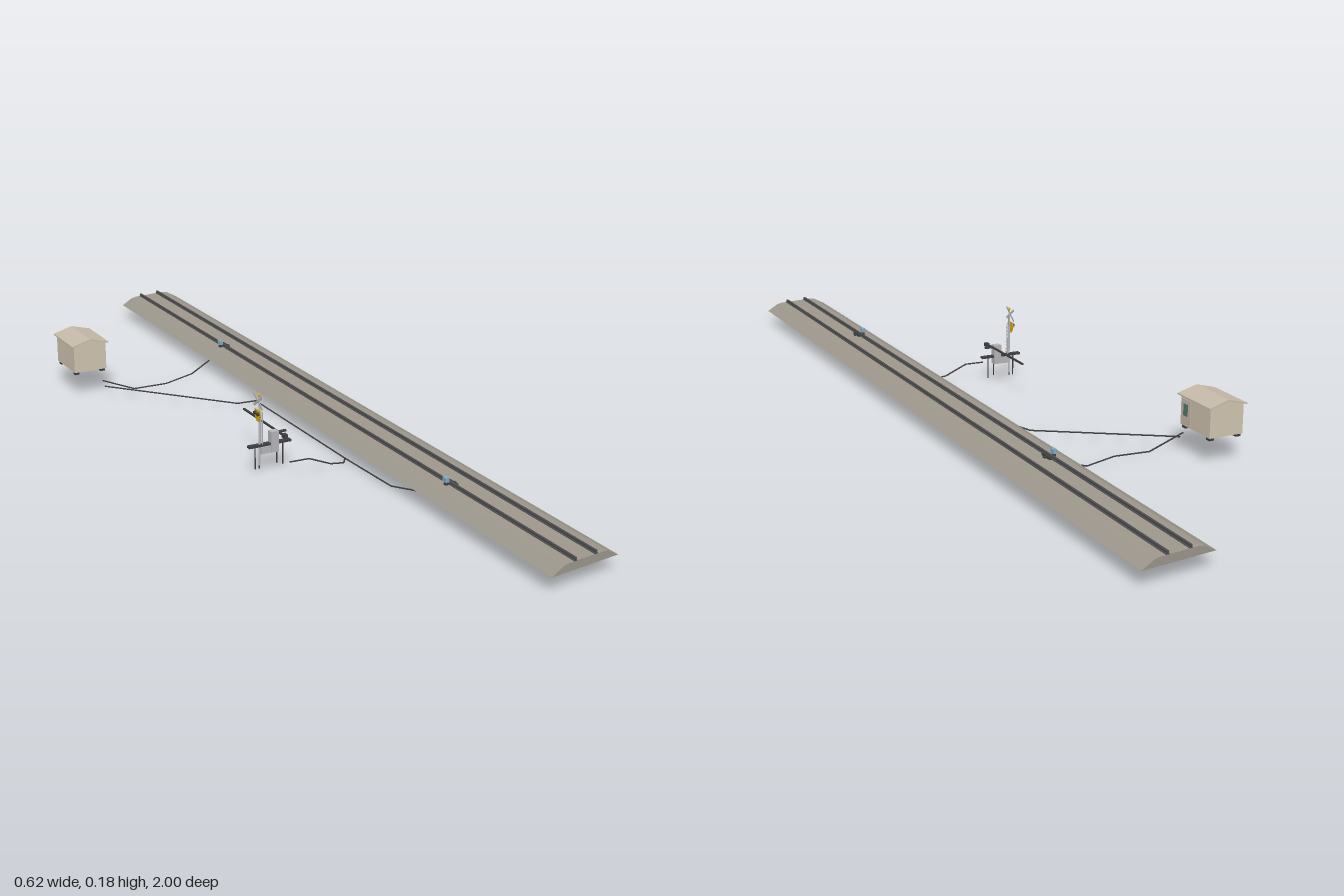
import * as THREE from 'three';

const TURN = -0.119; // heading of the track, shared by the hut and the crossing post
const mat = (color) => new THREE.MeshStandardMaterial({ color, flatShading: true, side: THREE.DoubleSide });
const BALLAST = mat(0x9c968b), STEEL = mat(0x4c4c4e), WALL = mat(0xcfc3b0), ROOF = mat(0xc4b9a8),
  DARK = mat(0x3f3f42), GREY = mat(0xb4b4b8), YELLOW = mat(0xd9ab1c), BLUE = mat(0x7fa9c4), GREEN = mat(0x4f7a66);

function add(parent, name, geo, material, x = 0, y = 0, z = 0) {
  const m = new THREE.Mesh(geo, material);
  m.name = name;
  m.position.set(x, y, z);
  parent.add(m);
  return m;
}

// box given by its extents along each axis
function block(parent, name, material, [x0, x1], [y0, y1], [z0, z1]) {
  return add(parent, name, new THREE.BoxGeometry(x1 - x0, y1 - y0, z1 - z0), material,
    (x0 + x1) / 2, (y0 + y1) / 2, (z0 + z1) / 2);
}

// profile in x,y extruded along z, centred on z = 0
function prism(points, length) {
  const shape = new THREE.Shape(points.map(([x, y]) => new THREE.Vector2(x, y)));
  return new THREE.ExtrudeGeometry(shape, { depth: length, bevelEnabled: false }).translate(0, 0, -length / 2);
}

// centre line of the track
const trackX = (z) => 0.1025 - 0.12 * z;

// slants a straight geometry so it follows the track while its ends stay square to z
function slant(geo) {
  const p = geo.attributes.position;
  for (let i = 0; i < p.count; i++) p.setX(i, p.getX(i) + trackX(p.getZ(i)));
  geo.computeVertexNormals();
  return geo;
}

function buildTrack() {
  const g = new THREE.Group();
  g.name = 'track';
  add(g, 'ballastBed', slant(prism([[-0.087, 0.037], [0.087, 0.037], [0.057, 0.053],
    [0.043, 0.055], [-0.043, 0.055], [-0.057, 0.053]], 2)), BALLAST);
  for (const s of [-1, 1]) {
    const c = s * 0.027; // foot, web and head of one rail
    add(g, 'rail', slant(prism([[c - 0.004, 0.0545], [c + 0.004, 0.0545], [c + 0.004, 0.056], [c + 0.0015, 0.057],
      [c + 0.0015, 0.059], [c + 0.0025, 0.0595], [c + 0.0025, 0.062], [c - 0.0025, 0.062],
      [c - 0.0025, 0.0595], [c - 0.0015, 0.059], [c - 0.0015, 0.057], [c - 0.004, 0.056]], 2)), STEEL);
  }
  // wheel sensors clamped to the left-hand rail
  for (const z of [0.585, -0.463]) {
    const s = new THREE.Group();
    s.name = 'wheelSensor';
    s.position.set(trackX(z), 0, z);
    s.rotation.y = TURN;
    block(s, 'sensorHead', BLUE, [-0.041, -0.032], [0.062, 0.072], [-0.006, 0.006]);
    block(s, 'sensorStand', DARK, [-0.039, -0.034], [0.054, 0.062], [-0.004, 0.004]);
    block(s, 'sensorClamp', DARK, [-0.04, -0.012], [0.054, 0.058], [-0.004, 0.004]);
    block(s, 'sensorPlate', DARK, [-0.022, -0.017], [0.055, 0.06], [-0.018, 0.018]);
    g.add(s);
  }
  return g;
}

function buildHut() {
  const g = new THREE.Group();
  g.name = 'hut';
  g.position.set(-0.2535, 0, -0.527);
  g.rotation.y = TURN;
  add(g, 'hutBody', prism([[-0.042, 0.064], [0.042, 0.064], [0.042, 0.132], [0, 0.143], [-0.042, 0.132]], 0.114), WALL);
  add(g, 'hutRoof', prism([[-0.048, 0.131], [0, 0.144], [0.048, 0.131], [0.048, 0.134], [0, 0.147], [-0.048, 0.134]], 0.126), ROOF);
  for (const x of [-0.034, 0.034])
    for (const z of [-0.047, 0.047])
      block(g, 'hutFoot', DARK, [x - 0.006, x + 0.006], [0.057, 0.064], [z - 0.006, z + 0.006]);
  // door and vent on the side facing the track
  block(g, 'hutDoor', ROOF, [0.042, 0.0432], [0.067, 0.125], [0.018, 0.052]);
  block(g, 'hutVent', GREEN, [0.043, 0.0445], [0.088, 0.115], [0.028, 0.044]);
  return g;
}

function buildCrossingPost() {
  const g = new THREE.Group();
  g.name = 'crossingPost';
  g.position.set(-0.2, 0, 0.192);
  g.rotation.y = TURN;
  // mast with ladder
  add(g, 'mast', new THREE.CylinderGeometry(0.0022, 0.0022, 0.165, 8), GREY, -0.006, 0.1, 0);
  add(g, 'mastCap', new THREE.SphereGeometry(0.004, 10, 8), YELLOW, -0.006, 0.181, 0);
  for (const z of [-0.004, 0.004]) block(g, 'ladderRail', GREY, [-0.001, 0.0005], [0.066, 0.142], [z - 0.0007, z + 0.0007]);
  for (let i = 0; i < 8; i++) block(g, 'ladderRung', GREY, [-0.005, 0.001], [0.07 + i * 0.009, 0.0712 + i * 0.009], [-0.004, 0.004]);
  // crossed warning boards
  for (const s of [-1, 1]) {
    const b = add(g, 'crossBoard', new THREE.BoxGeometry(0.0015, 0.005, 0.048), GREY, -0.009, 0.168, 0);
    b.rotation.x = s * 0.62;
  }
  // warning lamp with tapering backboard
  const board = prism([[-0.005, 0.121], [0.005, 0.121], [0.015, 0.137], [0.012, 0.148], [-0.012, 0.148], [-0.015, 0.137]], 0.002);
  add(g, 'lampBoard', board.rotateY(Math.PI / 2), YELLOW, -0.01, 0, 0);
  for (const z of [-0.007, 0.007]) {
    const hood = add(g, 'lampHood', new THREE.CylinderGeometry(0.004, 0.004, 0.006, 10), DARK, -0.013, 0.14, z);
    hood.rotation.z = Math.PI / 2;
  }
  // service deck on slim legs
  block(g, 'deck', DARK, [-0.034, 0.07], [0.062, 0.067], [-0.006, 0.006]);
  for (const x of [-0.017, -0.007, 0.052])
    block(g, 'deckLeg', DARK, [x - 0.001, x + 0.001], [0.01, 0.064], [-0.001, 0.001]);
  block(g, 'footing', GREY, [-0.005, 0.02], [0.045, 0.061], [-0.007, 0.007]);
  // barrier drive and arm
  block(g, 'barrierDrive', GREY, [0.019, 0.038], [0.045, 0.093], [-0.007, 0.009]);
  block(g, 'driveLeg', DARK, [0.036, 0.038], [0.015, 0.05], [-0.001, 0.001]);
  block(g, 'barrierAxle', DARK, [0.036, 0.06], [0.086, 0.09], [-0.003, 0.003]);
  block(g, 'barrierArm', DARK, [0.0385, 0.0425], [0.086, 0.09], [-0.165, 0.035]);
  block(g, 'counterweight', DARK, [0.037, 0.046], [0.083, 0.092], [0.022, 0.035]);
  return g;
}

// cable through points, with sharp bends
function cable(parent, name, pts) {
  const path = new THREE.CurvePath();
  const v = pts.map((p) => new THREE.Vector3(...p));
  for (let i = 1; i < v.length; i++) path.add(new THREE.LineCurve3(v[i - 1], v[i]));
  for (const c of path.curves) add(parent, name, new THREE.TubeGeometry(c, 1, 0.0018, 6), DARK);
  for (const p of v) add(parent, name + 'Joint', new THREE.SphereGeometry(0.0018, 6, 4), DARK, p.x, p.y, p.z);
}

export function createModel() {
  const model = new THREE.Group();
  model.name = 'levelCrossing';
  model.add(buildTrack(), buildHut(), buildCrossingPost());
  const cables = new THREE.Group();
  cables.name = 'cables';
  cable(cables, 'nearSensorCable', [[-0.235, 0.037, -0.455], [-0.155, 0.004, -0.44], [-0.07, 0.005, -0.425],
    [0.02, 0.007, -0.447], [0.105, 0.037, -0.463]]);
  cable(cables, 'trunkCable', [[-0.235, 0.025, -0.445], [-0.01, 0.008, -0.19], [0.02, 0.019, -0.155],
    [-0.03, 0.019, 0.27], [-0.048, 0.02, 0.455], [-0.02, 0.037, 0.585]]);
  cable(cables, 'postCable', [[-0.165, 0.035, 0.25], [-0.12, 0.035, 0.258], [-0.065, 0.012, 0.264],
    [-0.032, 0.008, 0.268], [-0.03, 0.019, 0.27]]);
  model.add(cables);
  return model;
}
